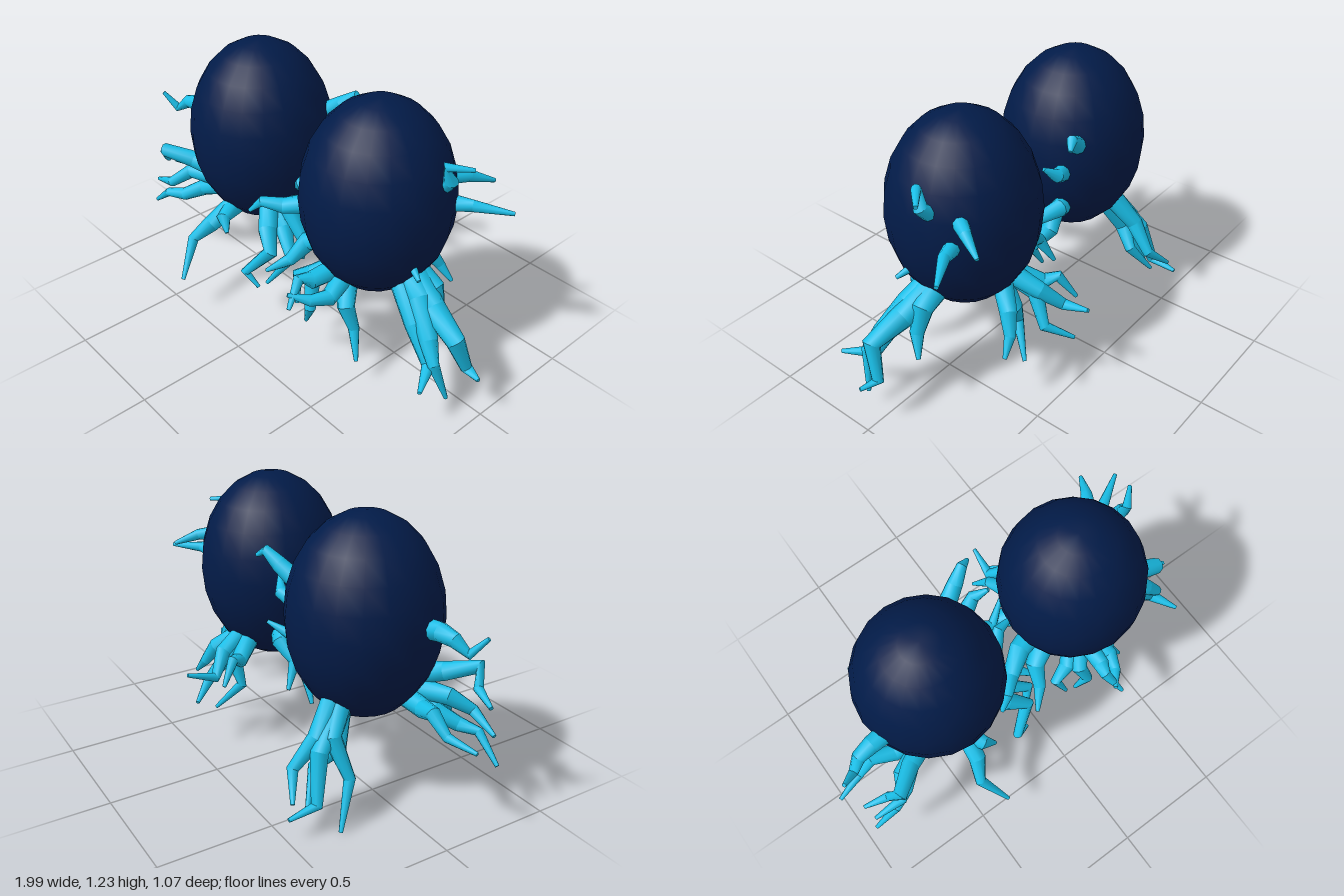
import * as THREE from 'three';

const SIDES = 9;

// Tapered, jointed limb: smooth around, creased at each joint, closed at both ends
function limbGeometry(points, r0, r1) {
  const p = points.map(a => new THREE.Vector3(...a));
  const n = p.length, pos = [], idx = [];
  const dir = i => p[Math.min(i + 1, n - 1)].clone().sub(p[Math.max(i - 1, 0)]).normalize();
  let t = dir(0);
  const u = new THREE.Vector3(0.31, 0.2, 0.93).cross(t).normalize();
  const rings = p.map((c, i) => {
    const next = dir(i);
    u.applyQuaternion(new THREE.Quaternion().setFromUnitVectors(t, next));
    t = next;
    const v = t.clone().cross(u);
    const r = THREE.MathUtils.lerp(r0, r1, (i / (n - 1)) ** 1.4);
    return Array.from({ length: SIDES }, (_, s) => {
      const a = (s / SIDES) * Math.PI * 2;
      return c.clone().addScaledVector(u, Math.cos(a) * r).addScaledVector(v, Math.sin(a) * r);
    });
  });
  const addRing = ring => {
    const start = pos.length / 3;
    ring.forEach(q => pos.push(q.x, q.y, q.z));
    return start;
  };
  for (let i = 0; i < n - 1; i++) {
    const a = addRing(rings[i]), b = addRing(rings[i + 1]);
    for (let s = 0; s < SIDES; s++) {
      const s2 = (s + 1) % SIDES;
      idx.push(a + s, a + s2, b + s, a + s2, b + s2, b + s);
    }
  }
  const first = addRing(rings[0]), last = addRing(rings[n - 1]);
  for (let s = 1; s < SIDES - 1; s++) {
    idx.push(first, first + s + 1, first + s, last, last + s, last + s + 1);
  }
  const g = new THREE.BufferGeometry();
  g.setAttribute('position', new THREE.Float32BufferAttribute(pos, 3));
  g.setIndex(idx);
  g.computeVertexNormals();
  return g;
}

export function createModel() {
  const model = new THREE.Group();
  const navy = new THREE.MeshStandardMaterial({ color: 0x021b48 });
  navy.name = 'navy shell';
  const cyan = new THREE.MeshStandardMaterial({ color: 0x1ac4ee });
  cyan.name = 'cyan limb';

  // Two egg-shaped bodies
  for (const [name, x] of [['rightBody', -0.405], ['leftBody', 0.36]]) {
    const body = new THREE.Mesh(new THREE.SphereGeometry(1, 20, 12), navy);
    body.scale.set(0.333, 0.443, 0.333);
    body.position.set(x, 0.792, 0.003);
    body.name = name;
    model.add(body);
  }

  const cluster = (name, r, limbs) => {
    const group = new THREE.Group();
    group.name = name;
    limbs.forEach(path => {
      const limb = new THREE.Mesh(limbGeometry(path, r, 0.009), cyan);
      limb.name = 'limb';
      group.add(limb);
    });
    model.add(group);
  };

  // Right body: outer side
  cluster('rightOuterLimbs', 0.046, [
    [[-0.55, 0.47, 0.1], [-0.69, 0.46, 0.1], [-0.79, 0.49, 0.07], [-0.87, 0.42, 0.08], [-1.0, 0.4, 0.12]],
    [[-0.58, 0.56, 0.17], [-0.67, 0.59, 0.22], [-0.78, 0.63, 0.31], [-0.82, 0.56, 0.27], [-0.93, 0.53, 0.24]],
    [[-0.56, 0.46, 0.14], [-0.66, 0.42, 0.18], [-0.74, 0.37, 0.25], [-0.82, 0.36, 0.29], [-0.94, 0.26, 0.29]],
    [[-0.56, 0.5, 0.14], [-0.72, 0.5, 0.21], [-0.78, 0.44, 0.29], [-0.92, 0.39, 0.28]],
  ]);
  cluster('rightUpperLimb', 0.045, [
    [[-0.67, 0.81, 0.1], [-0.76, 0.82, 0.11], [-0.83, 0.81, 0.12], [-0.885, 0.765, 0.15], [-0.94, 0.84, 0.19]],
  ]);

  // Right body: front
  cluster('rightFrontLimbs', 0.048, [
    [[-0.38, 0.48, 0.18], [-0.4, 0.4, 0.33], [-0.44, 0.33, 0.41], [-0.37, 0.19, 0.53]],
    [[-0.38, 0.46, 0.2], [-0.34, 0.45, 0.3], [-0.29, 0.4, 0.32]],
  ]);

  // Right body: back
  cluster('rightBackLimbs', 0.048, [
    [[-0.5, 0.48, -0.17], [-0.56, 0.37, -0.25], [-0.63, 0.2, -0.21], [-0.69, 0.01, -0.29]],
    [[-0.5, 0.46, -0.18], [-0.56, 0.32, -0.31], [-0.62, 0.12, -0.36], [-0.62, 0.1, -0.49]],
    [[-0.48, 0.48, -0.2], [-0.52, 0.36, -0.3], [-0.5, 0.24, -0.4], [-0.6, 0.15, -0.46]],
    [[-0.48, 0.45, -0.16], [-0.55, 0.3, -0.22], [-0.5, 0.22, -0.3], [-0.58, 0.09, -0.38]],
  ]);

  // Right body: inner side
  cluster('rightInnerLimbs', 0.05, [
    [[-0.24, 0.53, 0.1], [-0.14, 0.44, 0.2], [-0.06, 0.38, 0.25], [-0.16, 0.25, 0.32], [-0.09, 0.19, 0.3]],
    [[-0.24, 0.52, 0.06], [-0.12, 0.42, 0.12], [0.0, 0.34, 0.18], [-0.08, 0.2, 0.26]],
    [[-0.2, 0.56, 0.02], [-0.1, 0.52, 0.1], [0.0, 0.4, 0.1], [0.06, 0.37, 0.16]],
    [[-0.2, 0.56, -0.1], [-0.1, 0.6, -0.15], [0.0, 0.57, -0.1], [0.1, 0.62, -0.17]],
    [[-0.2, 0.54, -0.06], [-0.1, 0.46, -0.1], [-0.03, 0.38, -0.05], [-0.1, 0.26, -0.06]],
    [[-0.16, 0.62, 0.0], [-0.08, 0.65, 0.03], [-0.02, 0.72, -0.02], [0.06, 0.69, -0.04]],
  ]);
  cluster('rightInnerUpperLimbs', 0.042, [
    [[-0.18, 0.9, -0.18], [-0.1, 0.96, -0.22], [-0.04, 1.01, -0.25], [0.0, 0.98, -0.27]],
    [[-0.13, 0.77, -0.14], [-0.04, 0.81, -0.18], [0.02, 0.86, -0.15]],
  ]);

  // Left body: inner side
  cluster('leftInnerLimbs', 0.055, [
    [[0.14, 0.59, 0.04], [0.02, 0.61, 0.08], [-0.08, 0.58, 0.15], [-0.15, 0.6, 0.22], [-0.2, 0.54, 0.25]],
    [[0.18, 0.52, 0.08], [0.07, 0.46, 0.14], [0.04, 0.38, 0.22], [-0.03, 0.32, 0.3]],
    [[0.16, 0.56, -0.06], [0.06, 0.52, -0.12], [-0.02, 0.45, -0.1], [-0.06, 0.34, -0.16]],
  ]);

  // Left body: front
  cluster('leftFrontLimbs', 0.046, [
    [[0.32, 0.48, 0.18], [0.31, 0.48, 0.33], [0.29, 0.5, 0.38], [0.33, 0.41, 0.47]],
    [[0.36, 0.46, 0.18], [0.39, 0.42, 0.3], [0.36, 0.43, 0.38], [0.3, 0.46, 0.45]],
    [[0.3, 0.46, 0.18], [0.24, 0.4, 0.26], [0.27, 0.29, 0.3], [0.22, 0.18, 0.28]],
    [[0.36, 0.45, 0.16], [0.43, 0.36, 0.24], [0.46, 0.25, 0.22], [0.52, 0.13, 0.26]],
    [[0.28, 0.46, 0.14], [0.2, 0.4, 0.22], [0.12, 0.36, 0.24], [0.16, 0.24, 0.28]],
  ]);

  // Left body: back
  cluster('leftBackLimbs', 0.046, [
    [[0.3, 0.5, -0.19], [0.26, 0.44, -0.32], [0.19, 0.36, -0.4], [0.2, 0.4, -0.53]],
    [[0.28, 0.48, -0.18], [0.26, 0.42, -0.3], [0.3, 0.3, -0.38], [0.22, 0.24, -0.48]],
    [[0.26, 0.48, -0.18], [0.18, 0.42, -0.28], [0.14, 0.45, -0.33], [0.1, 0.35, -0.4]],
    [[0.32, 0.46, -0.16], [0.32, 0.34, -0.23], [0.28, 0.24, -0.22], [0.36, 0.11, -0.32]],
    [[0.34, 0.48, -0.18], [0.42, 0.4, -0.28], [0.46, 0.32, -0.32], [0.52, 0.25, -0.34]],
  ]);

  // Left body: outer side
  cluster('leftOuterLimbs', 0.06, [
    [[0.55, 0.52, 0.01], [0.67, 0.45, 0.05], [0.78, 0.33, 0.11], [0.84, 0.26, 0.14], [0.89, 0.085, 0.1]],
    [[0.55, 0.52, -0.01], [0.73, 0.42, 0.03], [0.88, 0.36, 0.06], [0.91, 0.21, 0.01], [0.99, 0.21, 0.03]],
    [[0.56, 0.51, -0.02], [0.67, 0.46, -0.03], [0.71, 0.35, -0.03], [0.76, 0.27, -0.08]],
    [[0.56, 0.48, 0.04], [0.7, 0.36, 0.1], [0.81, 0.23, 0.13], [0.88, 0.21, 0.26]],
  ]);

  // Left body: small outer limbs above the main cluster
  cluster('leftUpperLimbs', 0.036, [
    [[0.63, 0.92, -0.08], [0.68, 0.97, -0.07], [0.67, 1.04, -0.045], [0.75, 1.03, -0.12]],
    [[0.58, 0.91, -0.17], [0.63, 0.9, -0.25], [0.68, 0.86, -0.35]],
    [[0.62, 0.8, -0.17], [0.7, 0.81, -0.2], [0.84, 0.8, -0.29]],
  ]);
  cluster('leftStub', 0.02, [[[0.62, 0.6, 0.06], [0.69, 0.57, 0.09]]]);

  return model;
}
